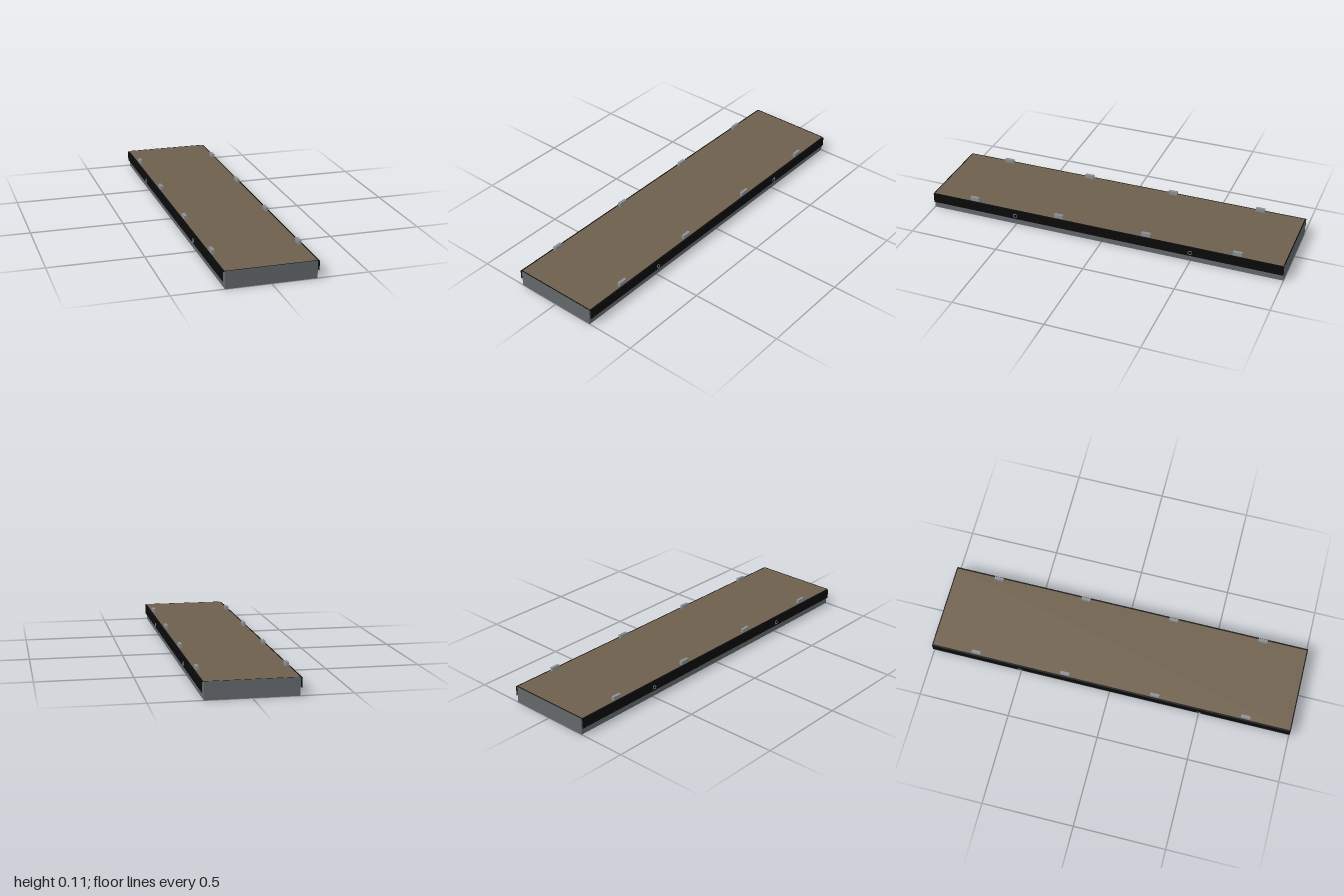
import * as THREE from 'three';

const HALF_W = 0.233, HEIGHT = 0.091, HALF_L = 1, SKIRT_X = 0.242;

export function createModel() {
  const group = new THREE.Group();
  const material = (name, color, side = THREE.FrontSide) => {
    const m = new THREE.MeshStandardMaterial({ color, side });
    m.name = name;
    return m;
  };
  const frameGrey = material('frame grey', 0x63676b, THREE.DoubleSide);
  const deckBrown = material('deck brown', 0x6e5f4c, THREE.DoubleSide);
  const skirtBlack = material('skirt black', 0x0a0a0a, THREE.DoubleSide);
  const metalGrey = material('metal grey', 0x8a8f94);

  const add = (name, geometry, mat, x, y, z) => {
    const mesh = new THREE.Mesh(geometry, mat);
    mesh.name = name;
    mesh.position.set(x, y, z);
    group.add(mesh);
    return mesh;
  };
  const sideSheet = (h) => new THREE.PlaneGeometry(2 * HALF_L, h).rotateY(Math.PI / 2);
  const flatSheet = (w, l) => new THREE.PlaneGeometry(w, l).rotateX(-Math.PI / 2);

  // Deck sheet on a thin-walled frame that is open underneath
  add('deck', flatSheet(2 * HALF_W, 2 * HALF_L), deckBrown, 0, HEIGHT, 0);
  for (const s of [-1, 1]) {
    add('frameSide', sideSheet(HEIGHT), frameGrey, s * HALF_W, HEIGHT / 2, 0);
    add('frameEnd', new THREE.PlaneGeometry(2 * HALF_W, HEIGHT), frameGrey, 0, HEIGHT / 2, s * HALF_L);

    // Black skirt hanging beside the frame, with its narrow top edging
    add('skirt', sideSheet(0.053), skirtBlack, s * SKIRT_X, 0.0625, 0);
    add('skirtTop', flatSheet(SKIRT_X - HALF_W, 2 * HALF_L), skirtBlack, s * (SKIRT_X + HALF_W) / 2, 0.089, 0);
    add('endEdging', flatSheet(2 * HALF_W, 0.006), skirtBlack, 0, HEIGHT + 0.0005, s * (HALF_L - 0.003));

    // Small cleats along the deck edge
    for (const z of [-0.75, -0.25, 0.25, 0.75])
      add('cleat', new THREE.BoxGeometry(0.016, 0.021, 0.05), metalGrey, s * 0.224, 0.1005, z);

    // Rings standing just off the skirt
    for (const z of [-0.5, 0.5])
      add('ring', new THREE.TorusGeometry(0.0105, 0.0015, 8, 24).rotateY(Math.PI / 2), metalGrey, s * 0.2485, 0.06, z);
  }
  return group;
}
